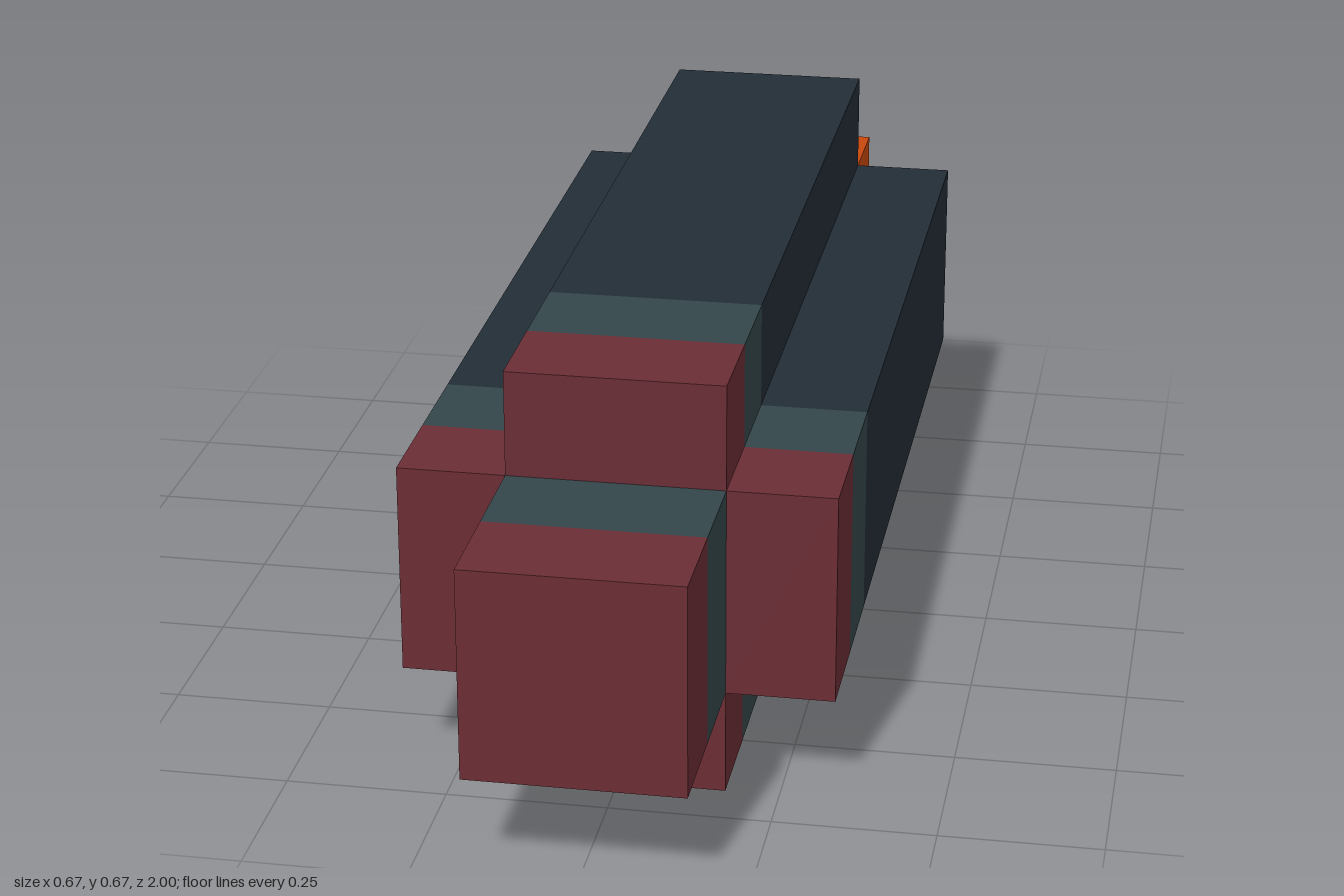
import * as THREE from 'three';

const U = 1 / 6; // grid unit: the model is 12 units long

const material = (name, color) => {
  const m = new THREE.MeshStandardMaterial({ color });
  m.name = name;
  return m;
};

// Plus-shaped cross-section of the body
function crossShape() {
  const a = U, b = 2 * U;
  return new THREE.Shape([
    [-a, -b], [a, -b], [a, -a], [b, -a], [b, a], [a, a],
    [a, b], [-a, b], [-a, a], [-b, a], [-b, -a], [-a, -a],
  ].map(([x, y]) => new THREE.Vector2(x, y)));
}

// Square cross-section of the two ends
function squareShape() {
  return new THREE.Shape([[-U, -U], [U, -U], [U, U], [-U, U]]
    .map(([x, y]) => new THREE.Vector2(x, y)));
}

export function createModel() {
  const model = new THREE.Group();
  model.name = 'blockCylinder';

  const navy = material('dark navy', 0x232d36);
  const slate = material('slate green', 0x34464a);
  const maroon = material('maroon', 0x6b2d35);
  const orange = material('orange', 0xc9470d);

  const cross = crossShape();
  const square = squareShape();

  // Sections from back to front: name, outline, start and end in units, colour
  const sections = [
    ['rearGlow', square, -6, -5, orange],
    ['body', cross, -5, 2, navy],
    ['bodyBand', cross, 2, 3, slate],
    ['bodyRim', cross, 3, 4, maroon],
    ['noseBand', square, 4, 5, slate],
    ['noseTip', square, 5, 6, maroon],
  ];
  for (const [name, shape, z0, z1, mat] of sections) {
    const geometry = new THREE.ExtrudeGeometry(shape, { depth: (z1 - z0) * U, bevelEnabled: false });
    const mesh = new THREE.Mesh(geometry, mat);
    mesh.name = name;
    mesh.position.set(0, 2 * U, z0 * U);
    model.add(mesh);
  }
  return model;
}
